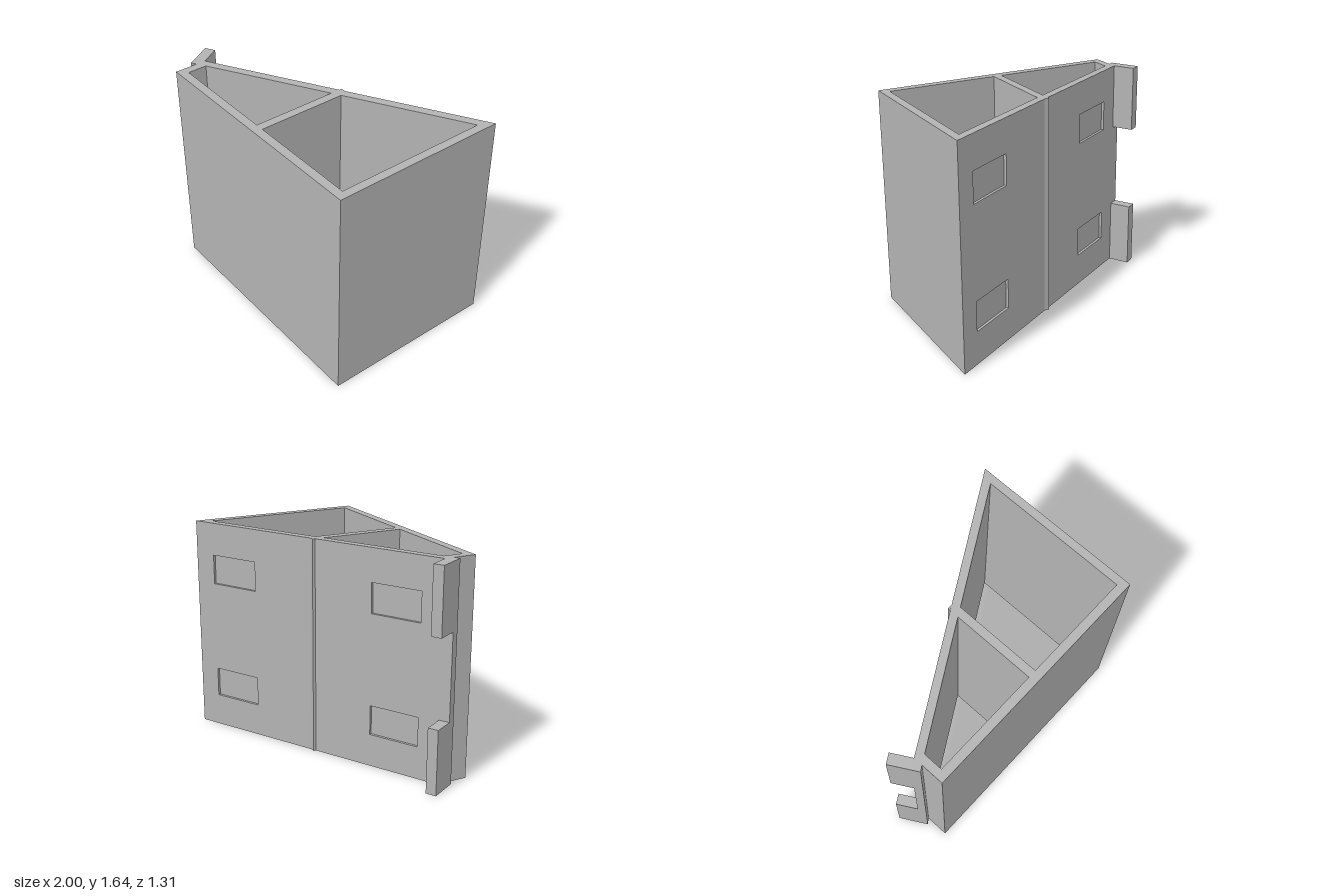
import * as THREE from 'three';

const HEIGHT = 1.645;
const WALL = 0.0625;      // wall thickness
const POCKET = 0.02;      // depth of the shallow pockets in the slanted wall
const SLANT = 2.217;      // length of the slanted wall
const TAB = 0.08;         // thickness of the upright tabs
const CORNER = [1, -0.655];
const C = Math.cos(Math.PI / 6), S = 0.5;

// Plan point [x, z] at distance s along the slanted wall, standing out from its face
const onSlant = (s, out) => [CORNER[0] - C * s - S * out, CORNER[1] + S * s - C * out];

// Upright prism from a plan outline of [x, z] points, with optional holes
function prism(name, material, outline, y0, y1, holes = []) {
  const toVectors = pts => pts.map(([x, z]) => new THREE.Vector2(x, -z));
  const shape = new THREE.Shape(toVectors(outline));
  shape.holes = holes.map(h => new THREE.Path(toVectors(h)));
  const geometry = new THREE.ExtrudeGeometry(shape, { depth: y1 - y0, bevelEnabled: false });
  geometry.rotateX(-Math.PI / 2).translate(0, y0, 0);
  const mesh = new THREE.Mesh(geometry, material);
  mesh.name = name;
  return mesh;
}

export function createModel() {
  const group = new THREE.Group();
  group.name = 'wedgeOrganizer';
  const grey = new THREE.MeshStandardMaterial({ color: 0xb3b3b3 });
  grey.name = 'plainGrey';

  // Wedge frame with two open compartments; the slanted side is set back for the face panel
  const skinStart = 0.1;
  const outline = [
    [-0.85, 0.655], [1, 0.655], CORNER,
    onSlant(skinStart, 0), onSlant(skinStart, -POCKET),
    onSlant(SLANT, -POCKET), onSlant(SLANT, -WALL), [-0.85, 0.482],
  ];
  const compartments = [
    [[-0.787, 0.59], [0.045, 0.59], [0.045, -0.034], [-0.787, 0.446]],
    [[0.108, 0.59], [0.938, 0.59], [0.938, -0.548], [0.108, -0.069]],
  ];
  group.add(prism('frame', grey, outline, 0, HEIGHT, compartments));

  // Face panel of the slanted wall, with four pockets
  const rect = (Type, x0, y0, x1, y1) => new Type([
    new THREE.Vector2(x0, y0), new THREE.Vector2(x1, y0),
    new THREE.Vector2(x1, y1), new THREE.Vector2(x0, y1),
  ]);
  const face = rect(THREE.Shape, skinStart, 0, SLANT, HEIGHT);
  for (const s of [0.16, 1.577]) {
    for (const y of [0.249, 1.17]) face.holes.push(rect(THREE.Path, s, y, s + 0.395, y + 0.226));
  }
  const panel = new THREE.Mesh(
    new THREE.ExtrudeGeometry(face, { depth: POCKET, bevelEnabled: false }).translate(0, 0, -POCKET), grey);
  panel.name = 'pocketPanel';
  panel.position.set(CORNER[0], 0, CORNER[1]);
  panel.rotation.y = -Math.PI * 5 / 6;
  group.add(panel);

  // Edge of the divider showing through the slanted wall
  group.add(prism('dividerRidge', grey, [[0.045, -0.104], [0.082, -0.125], [0.045, -0.125]], 0, HEIGHT));

  // Upper and lower tabs standing out at the narrow end
  const tab = [
    onSlant(SLANT, 0), onSlant(SLANT - TAB, 0),
    onSlant(SLANT - TAB, 0.163), onSlant(SLANT, 0.163),
  ];
  group.add(prism('lowerTab', grey, tab, 0, 0.495));
  group.add(prism('upperTab', grey, tab, HEIGHT - 0.495, HEIGHT));

  return group;
}
